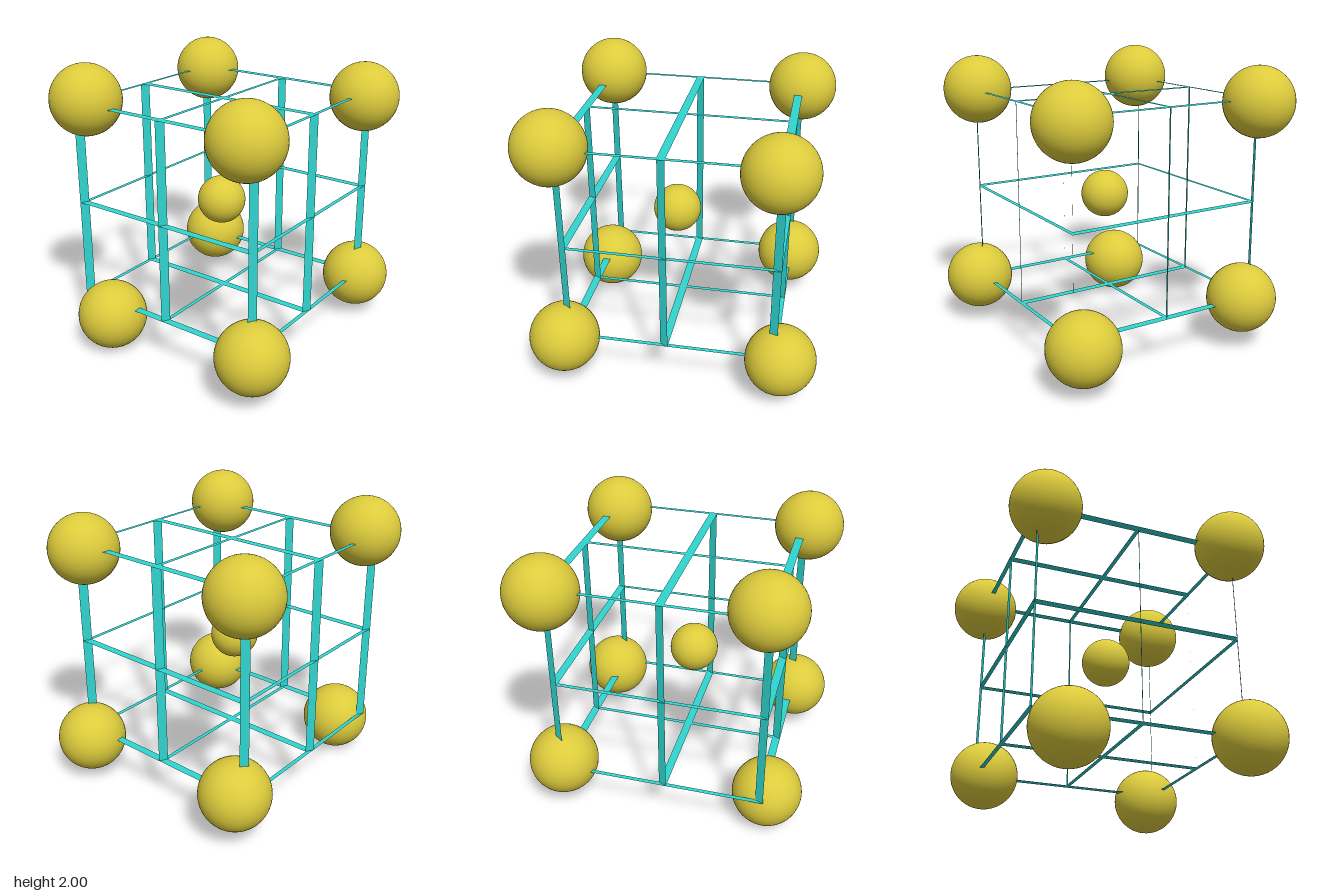
import * as THREE from 'three';

const frameMaterial = new THREE.MeshStandardMaterial({ color: 0x30d5d0, side: THREE.DoubleSide });
const ballMaterial = new THREE.MeshStandardMaterial({ color: 0xdccb3c });

// lattice levels along each axis
const X = [-0.71, -0.045, 0.687];
const Y = [0.335, 1.03, 1.73];
const Z = [-0.707, -0.007, 0.692];

// every bar is a line swept by this horizontal diagonal, giving a flat ribbon
const sweep = new THREE.Vector3(0.056, 0, 0.03);

function ribbon(a, b, name) {
  const half = sweep.clone().multiplyScalar(0.5);
  const corners = [
    a.clone().sub(half), a.clone().add(half),
    b.clone().add(half), b.clone().sub(half),
  ];
  const geometry = new THREE.BufferGeometry().setFromPoints(corners);
  geometry.setIndex([0, 1, 2, 0, 2, 3]);
  geometry.computeVertexNormals();
  const mesh = new THREE.Mesh(geometry, frameMaterial);
  mesh.name = name;
  return mesh;
}

function ball(x, y, z, radius, name) {
  const mesh = new THREE.Mesh(new THREE.SphereGeometry(radius, 48, 32), ballMaterial);
  mesh.position.set(x, y, z);
  mesh.name = name;
  return mesh;
}

export function createModel() {
  const model = new THREE.Group();
  model.name = 'cubicLattice';

  // frame: cube edges plus a cross on each face, nothing through the middle
  const frame = new THREE.Group();
  frame.name = 'frame';
  const point = (i, j, k) => new THREE.Vector3(X[i], Y[j], Z[k]);
  for (let i = 0; i < 3; i++) {
    for (let j = 0; j < 3; j++) {
      if (i === 1 && j === 1) continue;
      frame.add(ribbon(point(0, i, j), point(2, i, j), 'crossBar'));
      frame.add(ribbon(point(i, 0, j), point(i, 2, j), 'upright'));
      frame.add(ribbon(point(i, j, 0), point(i, j, 2), 'depthBar'));
    }
  }
  model.add(frame);

  // balls sit loosely around the eight corners
  const corners = [
    [-0.746, 1.73, 0.663, 'topFrontRightBall'],
    [0.67, 1.695, 0.677, 'topFrontLeftBall'],
    [-0.688, 1.756, -0.653, 'topBackRightBall'],
    [0.704, 1.712, -0.71, 'topBackLeftBall'],
    [-0.737, 0.33, 0.711, 'bottomFrontRightBall'],
    [0.74, 0.3, 0.655, 'bottomFrontLeftBall'],
    [-0.728, 0.24, -0.482, 'bottomBackRightBall'],
    [0.693, 0.35, -0.638, 'bottomBackLeftBall'],
  ];
  for (const [x, y, z, name] of corners) model.add(ball(x, y, z, 0.24, name));

  // smaller ball in the middle
  model.add(ball(-0.083, 1.015, 0, 0.166, 'centreBall'));
  return model;
}
